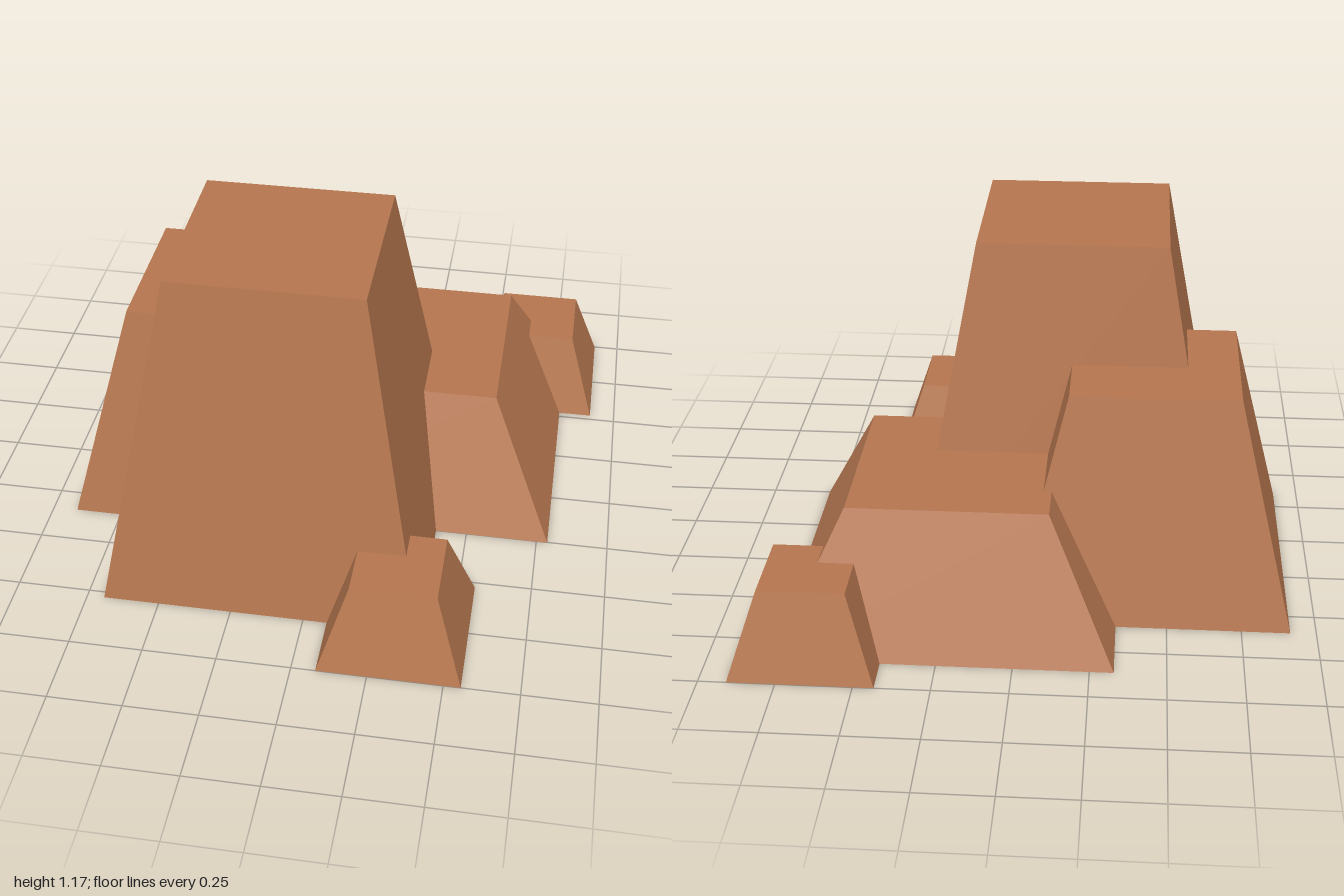
import * as THREE from 'three';

const rock = new THREE.MeshStandardMaterial({ color: 0xb5764f, flatShading: true });

// Square block whose top face is narrower than its base, standing on y = 0
function taperedBlock(name, x, z, baseHalf, topHalf, height) {
  const geometry = new THREE.BoxGeometry(2 * baseHalf, height, 2 * baseHalf);
  geometry.translate(0, height / 2, 0);
  const pos = geometry.attributes.position;
  const taper = topHalf / baseHalf;
  for (let i = 0; i < pos.count; i++) {
    if (pos.getY(i) > height / 2) {
      pos.setX(i, pos.getX(i) * taper);
      pos.setZ(i, pos.getZ(i) * taper);
    }
  }
  geometry.computeVertexNormals();
  const mesh = new THREE.Mesh(geometry, rock);
  mesh.name = name;
  mesh.position.set(x, 0, z);
  return mesh;
}

export function createModel() {
  const group = new THREE.Group();
  group.name = 'rockFormation';
  // name, centre x, centre z, half base, half top, height
  const blocks = [
    ['tallRock', -0.15, 0.235, 0.541, 0.325, 1.17],
    ['mediumRock', -0.44, -0.128, 0.473, 0.284, 0.765],
    ['lowRock', 0.23, -0.307, 0.559, 0.335, 0.45],
    ['smallBackRock', 0.67, -0.762, 0.238, 0.143, 0.288],
    ['smallFrontRock', 0.319, 0.762, 0.238, 0.143, 0.288],
  ];
  for (const block of blocks) group.add(taperedBlock(...block));
  return group;
}
